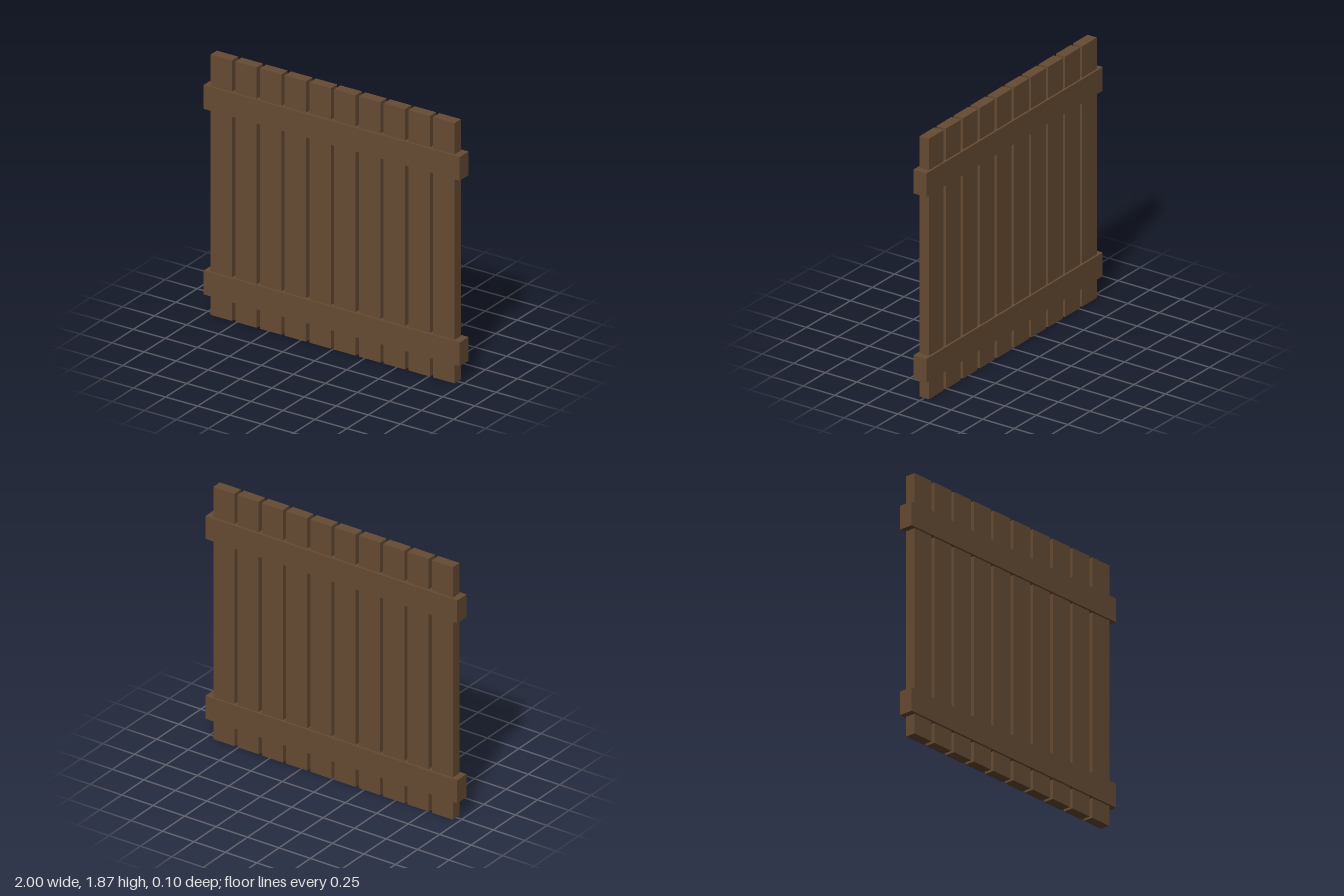
import * as THREE from 'three';

export function createModel() {
  const model = new THREE.Group();
  model.name = 'fencePanel';
  const wood = new THREE.MeshStandardMaterial({ color: 0x664b33 });

  function addBoard(name, width, height, depth, x, y) {
    const board = new THREE.Mesh(new THREE.BoxGeometry(width, height, depth), wood);
    board.name = name;
    board.position.set(x, y, 0);
    model.add(board);
  }

  // Upright planks, evenly spaced
  const count = 10, pitch = 0.193, plankHeight = 1.868;
  for (let i = 0; i < count; i++) {
    addBoard(`plank${i + 1}`, 0.167, plankHeight, 0.074, -0.871 + i * pitch, plankHeight / 2);
  }

  // Horizontal rails, thicker than the planks so they stand out on both faces
  addBoard('lowerRail', 2, 0.17, 0.104, 0, 0.227);
  addBoard('upperRail', 2, 0.17, 0.104, 0, 1.558);

  return model;
}
